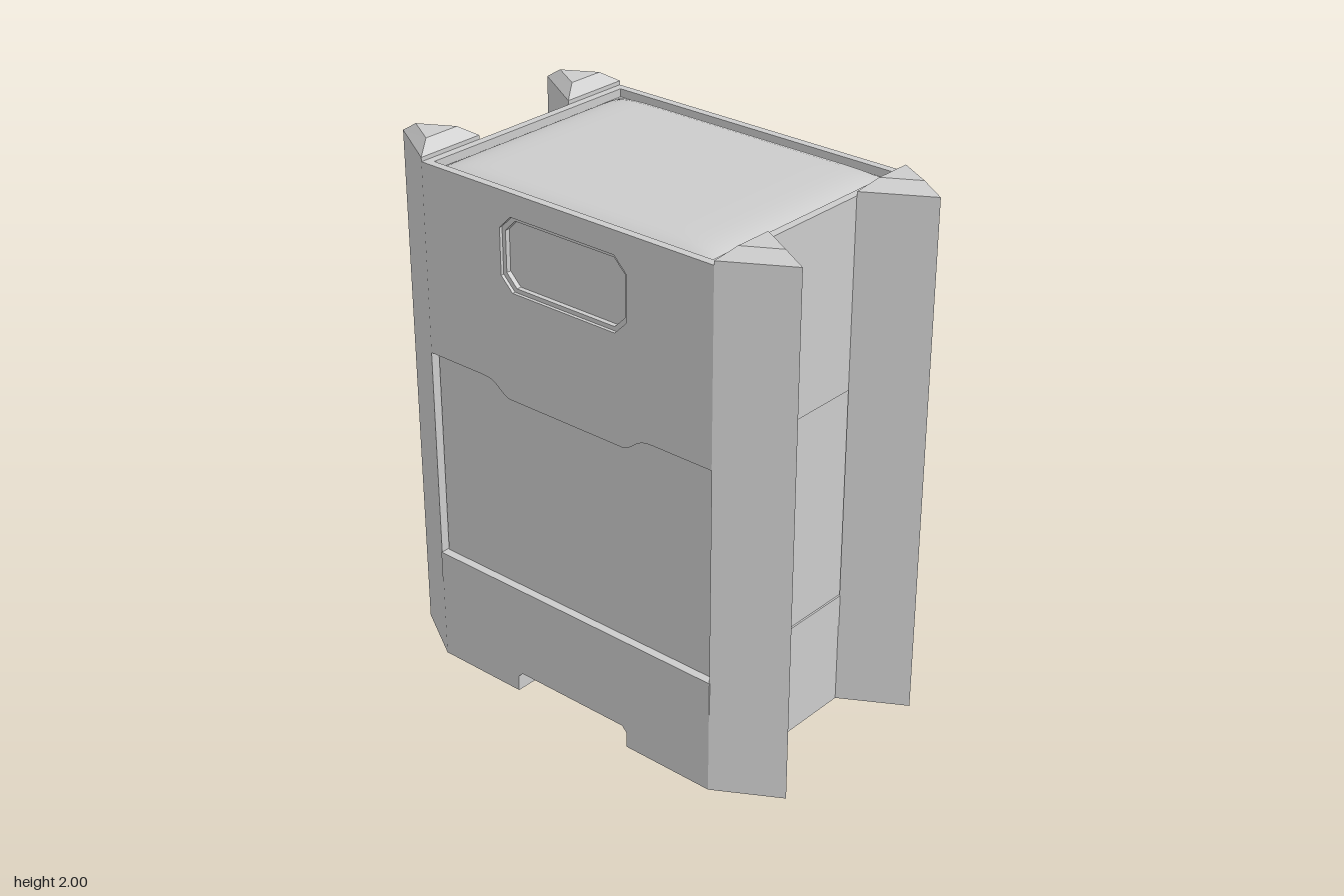
import * as THREE from 'three';

const mat = new THREE.MeshStandardMaterial({ color: 0xcccccc, flatShading: true, side: THREE.DoubleSide });
const smooth = new THREE.MeshStandardMaterial({ color: 0xcccccc, side: THREE.DoubleSide });

function add(parent, name, geometry, material = mat) {
  const mesh = new THREE.Mesh(geometry, material);
  mesh.name = name;
  parent.add(mesh);
  return mesh;
}

// Box spanning y0..y1 with half sizes hx, hz
function block(parent, name, hx, hz, y0, y1, x = 0) {
  add(parent, name, new THREE.BoxGeometry(hx * 2, y1 - y0, hz * 2)).position.set(x, (y0 + y1) / 2, 0);
}

// Rectangle with cut corners, centred on (0, cy)
function octagon(Type, hw, hh, cut, cy) {
  const p = [[-hw, -hh + cut], [-hw + cut, -hh], [hw - cut, -hh], [hw, -hh + cut],
    [hw, hh - cut], [hw - cut, hh], [-hw + cut, hh], [-hw, hh - cut]];
  return new Type(p.map(([x, y]) => new THREE.Vector2(x, y + cy)));
}

function slab(parent, name, shape, z0, z1) {
  const g = new THREE.ExtrudeGeometry(shape, { depth: z1 - z0, bevelEnabled: false, curveSegments: 8 });
  add(parent, name, g).position.z = z0;
}

// One large face: upper panel with wavy edge and grip recess, base with notch
function makeFace(name) {
  const face = new THREE.Group();
  face.name = name;

  const upper = new THREE.Shape();
  upper.moveTo(-0.63, 1.945);
  upper.lineTo(-0.63, 1.24);
  upper.lineTo(-0.38, 1.24);
  upper.bezierCurveTo(-0.31, 1.24, -0.31, 1.205, -0.26, 1.187);
  upper.lineTo(0.26, 1.187);
  upper.bezierCurveTo(0.31, 1.205, 0.31, 1.24, 0.38, 1.24);
  upper.lineTo(0.63, 1.24);
  upper.lineTo(0.63, 1.945);
  upper.holes.push(octagon(THREE.Path, 0.275, 0.135, 0.05, 1.725));
  slab(face, 'upperPanel', upper, 0.46, 0.49);

  const rim = octagon(THREE.Shape, 0.275, 0.135, 0.05, 1.725);
  rim.holes.push(octagon(THREE.Path, 0.26, 0.12, 0.045, 1.725));
  slab(face, 'gripRim', rim, 0.46, 0.478);

  const base = new THREE.Shape([[-0.63, 0], [-0.26, 0], [-0.26, 0.06], [-0.24, 0.08], [0.24, 0.08],
    [0.26, 0.06], [0.26, 0], [0.63, 0], [0.63, 0.31], [-0.63, 0.31]].map(([x, y]) => new THREE.Vector2(x, y)));
  slab(face, 'basePanel', base, 0.39, 0.49);
  return face;
}

// Three-sided corner fin with a tapered top, open underneath
function finGeometry() {
  const outer = [[0, 0.135], [0.23, 0], [0, -0.135]];
  const inner = [[0.04, 0.072], [0.165, 0], [0.04, -0.072]];
  const rings = [[outer, 0], [outer, 1.96], [inner, 2]].map(([r, y]) => r.map(([x, z]) => [x, y, z]));
  const pos = [];
  for (let k = 0; k < 2; k++) {
    for (let i = 0; i < 3; i++) {
      const j = (i + 1) % 3;
      const [a, b, c, d] = [rings[k][i], rings[k][j], rings[k + 1][j], rings[k + 1][i]];
      pos.push(...a, ...b, ...c, ...a, ...c, ...d);
    }
  }
  pos.push(...rings[2].flat());
  const g = new THREE.BufferGeometry();
  g.setAttribute('position', new THREE.Float32BufferAttribute(pos, 3));
  g.computeVertexNormals();
  return g;
}

// Slightly domed lid surface that falls away at its edges
function lidGeometry() {
  const g = new THREE.PlaneGeometry(1.2, 0.92, 40, 32).rotateX(-Math.PI / 2);
  const p = g.attributes.position;
  for (let i = 0; i < p.count; i++) {
    const u = Math.abs(p.getX(i) / 0.6), v = Math.abs(p.getZ(i) / 0.46);
    p.setY(i, 1.915 + 0.035 * (1 - u ** 12) * (1 - v ** 12));
  }
  g.computeVertexNormals();
  return g;
}

export function createModel() {
  const model = new THREE.Group();
  model.name = 'container';

  // Body stack, from the bottom up
  block(model, 'baseCore', 0.63, 0.39, 0, 0.31);
  block(model, 'lowerBand', 0.632, 0.492, 0.31, 0.435);
  block(model, 'recessedMiddle', 0.625, 0.46, 0.435, 1.245);
  block(model, 'upperCore', 0.63, 0.46, 1.245, 1.905);

  // Lid with side rims
  for (const s of [-1, 1]) block(model, 'sideRim', 0.015, 0.46, 1.905, 1.945, s * 0.615);
  add(model, 'lid', lidGeometry(), smooth);

  // Front and back faces
  const back = makeFace('backFace');
  back.rotation.y = Math.PI;
  model.add(makeFace('frontFace'), back);

  // Corner fins
  const fin = finGeometry();
  for (const sx of [-1, 1]) {
    for (const sz of [-1, 1]) {
      const mesh = add(model, 'cornerFin', fin);
      mesh.position.set(sx * 0.63, 0, sz * 0.355);
      if (sx < 0) mesh.rotation.y = Math.PI;
    }
  }
  return model;
}
